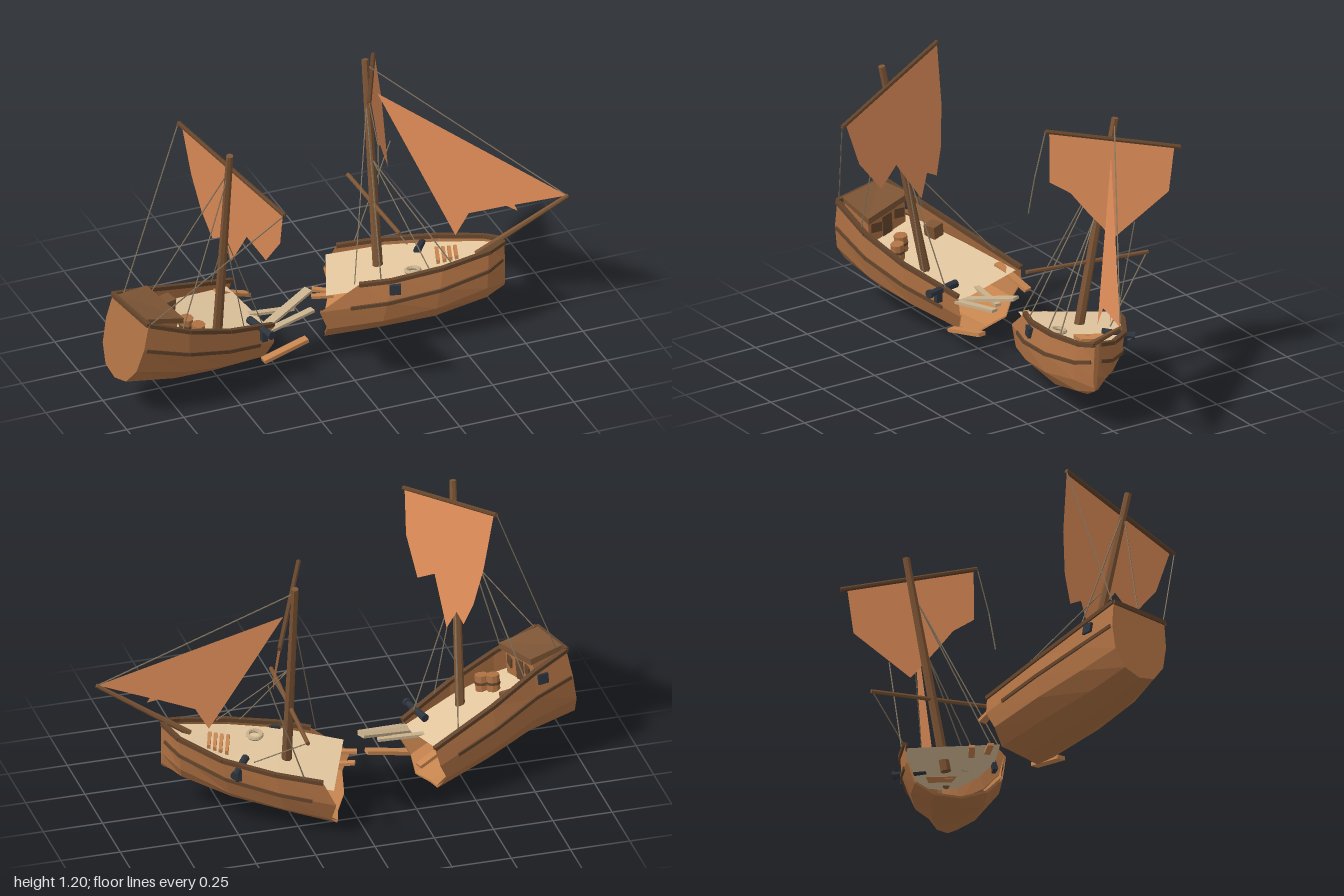
import * as THREE from 'three';

const mat = (name, color) => {
  const m = new THREE.MeshStandardMaterial({ color, side: THREE.DoubleSide, flatShading: true });
  m.name = name;
  return m;
};
const V = (p) => (p.isVector3 ? p.clone() : new THREE.Vector3(...p));

export function createModel() {
  const root = new THREE.Group();
  const wood = mat('hull wood', 0xb07244), dark = mat('dark trim', 0x65452c), spar = mat('spar wood', 0x7d5535);
  const deckWood = mat('deck wood', 0xe4c8a0), sailCloth = mat('sail cloth', 0xe38f5a), iron = mat('iron', 0x2f353e);
  const rope = mat('rope', 0x85765f), pale = mat('pale broken wood', 0xc8b08c), split = mat('split wood', 0xc88650);

  const add = (parent, name, geo, m) => {
    const mesh = new THREE.Mesh(geo, m);
    mesh.name = name;
    parent.add(mesh);
    return mesh;
  };
  // round bar between two points
  const bar = (parent, name, a, b, r, m, r2 = r, sides = 7) => {
    const p = V(a), q = V(b), d = q.clone().sub(p);
    const mesh = add(parent, name, new THREE.CylinderGeometry(r2, r, d.length(), sides), m);
    mesh.position.copy(p).add(q).multiplyScalar(0.5);
    mesh.quaternion.setFromUnitVectors(new THREE.Vector3(0, 1, 0), d.normalize());
    return mesh;
  };
  // rectangular board between two points
  const board = (parent, name, a, b, w, h, m) => {
    const p = V(a), q = V(b);
    const mesh = add(parent, name, new THREE.BoxGeometry(w, h, p.distanceTo(q)), m);
    mesh.position.copy(p).add(q).multiplyScalar(0.5);
    mesh.lookAt(q);
    return mesh;
  };
  // skin over cross-sections with equal point counts
  const loft = (sections, closed = false, capStart = false, capEnd = false) => {
    const pos = [], tri = (...ps) => ps.forEach((p) => pos.push(p.x, p.y, p.z));
    const n = sections[0].length;
    for (let i = 0; i + 1 < sections.length; i++) {
      for (let j = 0; j < (closed ? n : n - 1); j++) {
        const k = (j + 1) % n, s = sections[i], t = sections[i + 1];
        tri(s[j], t[j], t[k]);
        tri(s[j], t[k], s[k]);
      }
    }
    const cap = (s) => { for (let j = 1; j + 1 < n; j++) tri(s[0], s[j], s[j + 1]); };
    if (capStart) cap(sections[0]);
    if (capEnd) cap(sections[sections.length - 1]);
    const g = new THREE.BufferGeometry();
    g.setAttribute('position', new THREE.Float32BufferAttribute(pos, 3));
    g.computeVertexNormals();
    return g;
  };

  // hull section shape: a = across (+1 is the +z rail), b = down from rail to keel
  const half = [[1, 0], [1.06, 0.36], [0.94, 0.7], [0.57, 0.93]];
  const profile = [...half, [0, 1], ...half.map(([a, b]) => [-a, b]).reverse()];
  // point on a hull at station s; each station is [+z rail, -z rail, keel]
  const at = (hull, s, a, b) => {
    const i = Math.max(0, Math.min(Math.floor(s), hull.length - 2)), f = s - i;
    const [n, r, k] = [0, 1, 2].map((j) => V(hull[i][j]).lerp(V(hull[i + 1][j]), f));
    const mid = n.clone().add(r).multiplyScalar(0.5);
    return mid.clone().addScaledVector(n.sub(r), a / 2).addScaledVector(k.sub(mid), b);
  };
  // hull, lining, deck, rails and wales; the broken end is ragged by the given station offsets
  const ship = (parent, hull, deckDrop, breakAt, ragged, waleStart, waleEnd) => {
    const last = hull.length - 1;
    const shift = (s, j) => s + (s === breakAt ? ragged[j] : 0);
    const skin = (scale) => hull.map((_, s) => profile.map(([a, b], j) => at(hull, shift(s, j), a * scale, b * scale)));
    add(parent, 'hull', loft(skin(1), false, breakAt !== 0, breakAt === 0), wood);
    const inner = skin(0.96).map((sec) => sec.slice(1, -1));
    add(parent, 'brokenLining', loft(breakAt === 0 ? inner.slice(0, 3) : inner.slice(-3)), split);
    add(parent, 'deck', loft(hull.map((_, s) => [1, -1].map((a) => at(hull, s, a * 0.99, deckDrop[s])))), deckWood);
    for (const a of [1, -1]) {
      const j = a > 0 ? 0 : 8;
      for (let s = 0; s < last; s++) {
        board(parent, 'rail', at(hull, shift(s, j), a, 0), at(hull, shift(s + 1, j), a, 0), 0.02, 0.016, dark);
        const e = s + 1 === last ? waleEnd : 1, st = s === 0 ? waleStart : 0;
        board(parent, 'wale', at(hull, s + st, a * 1.06, 0.36), at(hull, s + e, a * 1.06, 0.36), 0.012, 0.015, dark);
      }
    }
  };
  // torn cloth: flat outline (u, v) placed in space by a rule
  const cloth = (parent, name, pts, place) => {
    const g = new THREE.ShapeGeometry(new THREE.Shape(pts.map((p) => new THREE.Vector2(...p)))).toNonIndexed();
    const pos = g.attributes.position;
    for (let i = 0; i < pos.count; i++) pos.setXYZ(i, ...place(pos.getX(i), pos.getY(i)));
    g.computeVertexNormals();
    add(parent, name, g, sailCloth);
  };
  // square sail hung from a yard, bellying forward as it drops
  const squareSail = (parent, A, B, belly, pts) => {
    bar(parent, 'yard', A, B, 0.01, dark);
    cloth(parent, 'squareSail', pts, (z, y) => {
      const t = (z - A[2]) / (B[2] - A[2]);
      return [A[0] + (B[0] - A[0]) * t + 0.008 + belly * (A[1] + (B[1] - A[1]) * t - y), y, z];
    });
  };
  const ropes = (parent, list) => list.forEach(([a, b]) => bar(parent, 'rope', a, b, 0.0028, rope, 0.0028, 4));
  const cannon = (parent, a, b) => {
    const g = new THREE.Group();
    g.name = 'cannon';
    parent.add(g);
    const p = V(a), q = V(b), m = p.clone().lerp(q, 0.65);
    bar(g, 'barrel', p, q, 0.017, iron, 0.013, 8);
    bar(g, 'muzzleRing', p.clone().lerp(q, 0.9), q, 0.018, iron, 0.018, 8);
    board(g, 'mount', m, m.clone().add(V([0, -0.048, 0])), 0.025, 0.025, iron);
  };
  // iron block fixed outside the hull
  const sideGun = (parent, hull, s, a) =>
    board(parent, 'sideGun', at(hull, s, a * 0.95, 0.15), at(hull, s, a * 1.1, 0.15), 0.046, 0.042, iron);

  // ---- stern half ----
  const stern = new THREE.Group();
  stern.name = 'sternHalf';
  root.add(stern);
  const sh = [
    [[-0.905, 0.475, 0.255], [-0.955, 0.495, 0], [-0.99, 0.165, 0.1]],
    [[-0.72, 0.395, 0.24], [-0.8, 0.445, -0.06], [-0.77, 0.125, 0.06]],
    [[-0.52, 0.32, 0.185], [-0.6, 0.367, -0.15], [-0.57, 0.08, -0.02]],
    [[-0.285, 0.237, 0.075], [-0.35, 0.282, -0.245], [-0.34, 0.032, -0.11]],
  ];
  ship(stern, sh, [0.4, 0.3, 0.22, 0.12], 3, [0, 0.06, -0.05, 0.03, -0.05, 0.02, -0.06, 0.06, 0.1], 0.05, 0.72);
  board(stern, 'sternRail', sh[0][0], sh[0][1], 0.02, 0.018, dark);
  // cabin: four-sided block whose top slopes less than the rails
  const cabin = (s0, s1, w, tops, bottoms) => loft([s0, s1].map((s, i) =>
    [[w, tops[i]], [w, bottoms[i]], [-w, bottoms[i]], [-w, tops[i]]].map(([a, b]) => at(sh, s, a, b))), true, true, true);
  add(stern, 'cabin', cabin(0.05, 0.85, 0.72, [-0.02, -0.08], [0.4, 0.36]), wood);
  add(stern, 'cabinRoof', cabin(0.02, 0.95, 0.8, [-0.04, -0.15], [0.02, -0.06]), spar);
  add(stern, 'door', cabin(0.85, 0.87, 0.18, [0.02, 0.02], [0.34, 0.34]), dark);
  for (const a of [0.45, -0.45]) {
    const c = at(sh, 0.86, a, 0.1);
    board(stern, 'window', c, c.clone().add(V([0.008, 0, 0])), 0.05, 0.04, dark);
  }
  // deck cargo
  [[1.38, 0.25], [1.5, 0.55]].forEach(([s, a]) => {
    const p = at(sh, s, a, 0.28), q = at(sh, s, a, 0.04);
    bar(stern, 'barrel', p, q, 0.028, wood, 0.028, 9);
    bar(stern, 'barrelHoop', p.clone().lerp(q, 0.42), p.clone().lerp(q, 0.58), 0.03, dark, 0.03, 9);
  });
  board(stern, 'crate', at(sh, 1.5, -0.75, 0.27), at(sh, 1.5, -0.75, 0.08), 0.055, 0.055, spar);
  bar(stern, 'mast', [-0.528, 0.24, 0.07], [-0.556, 1.2, 0.268], 0.021, spar, 0.015);
  const yA = [-0.645, 1.198, -0.057], yB = [-0.43, 1.04, 0.54];
  squareSail(stern, yA, yB, 0.16, [[-0.05, 1.19], [0.52, 1.04], [0.465, 0.865], [0.35, 0.725], [0.25, 0.79],
    [0.12, 0.607], [0.075, 0.7], [0.02, 0.67], [-0.02, 0.78], [-0.045, 0.95]]);
  const m1 = [-0.55, 1.12, 0.25], low1 = [-0.535, 0.76, 0.17];
  ropes(stern, [[yA, [-0.92, 0.49, 0.02]], [yB, [-0.9, 0.47, 0.25]], [m1, [-0.76, 0.43, -0.06]], [m1, [-0.75, 0.41, 0.24]],
    [low1, [-0.34, 0.26, 0.1]], [low1, [-0.44, 0.32, -0.2]], [low1, [-0.44, 0.3, 0.14]]]);
  cannon(stern, [-0.37, 0.255, 0.03], [-0.335, 0.255, 0.185]);
  sideGun(stern, sh, 0.78, -1);
  // loose broken planks
  board(stern, 'loosePlank', [-0.34, 0.2, 0.05], [-0.07, 0.275, -0.065], 0.04, 0.012, pale);
  board(stern, 'loosePlank', [-0.3, 0.21, 0.07], [-0.09, 0.235, 0.025], 0.03, 0.012, pale);
  board(stern, 'loosePlank', [-0.34, 0.23, -0.05], [-0.15, 0.225, -0.03], 0.025, 0.012, pale);
  board(stern, 'loosePlank', [-0.33, 0.08, 0.08], [-0.13, 0.125, 0.06], 0.035, 0.016, split);
  board(stern, 'loosePlank', [-0.42, 0.27, -0.2], [-0.26, 0.2, -0.245], 0.035, 0.014, split);

  // ---- bow half ----
  const bow = new THREE.Group();
  bow.name = 'bowHalf';
  root.add(bow);
  const bh = [
    [[-0.005, 0.28, -0.035], [0.14, 0.25, -0.385], [0.05, 0.002, -0.18]],
    [[0.24, 0.315, 0.065], [0.36, 0.285, -0.3], [0.24, 0.045, -0.1]],
    [[0.45, 0.345, 0.1], [0.55, 0.32, -0.185], [0.45, 0.085, -0.01]],
    [[0.65, 0.375, 0.1], [0.69, 0.365, -0.04], [0.65, 0.145, 0.06]],
    [[0.73, 0.393, 0.075], [0.732, 0.393, 0.055], [0.73, 0.19, 0.075]],
  ];
  ship(bow, bh, [0.12, 0.1, 0.1, 0.1, 0.1], 0, [0.5, -0.1, 0.04, -0.02, 0.05, 0, 0.08, -0.04, 0.18], 0.4, 0.85);
  bar(bow, 'bowsprit', [0.62, 0.34, 0.04], [0.99, 0.575, 0.12], 0.014, spar, 0.009);
  bar(bow, 'mast', [0.268, 0.22, -0.14], [0.282, 1.14, -0.313], 0.022, spar, 0.015);
  bar(bow, 'lowerYard', [0.26, 0.55, 0.1], [0.275, 0.51, -0.475], 0.009, spar);
  const yC = [0.185, 1.108, -0.04], yD = [0.415, 1.006, -0.543];
  squareSail(bow, yC, yD, 0.16, [[-0.05, 1.1], [-0.035, 0.9], [-0.11, 0.85], [-0.165, 0.77], [-0.255, 0.65],
    [-0.48, 0.83], [-0.515, 1.01]]);
  cloth(bow, 'jib', [[0.318, 0.995], [0.985, 0.575], [0.79, 0.53], [0.8, 0.505], [0.76, 0.525], [0.62, 0.49], [0.565, 0.395]],
    (x, y) => [x, y, -0.27 + 0.469 * (x - 0.318) - 0.183 * (y - 0.995)]);
  const m2 = [0.281, 1.12, -0.31], high2 = [0.27, 0.95, -0.27], low2 = [0.275, 0.72, -0.22];
  ropes(bow, [[m2, [0.985, 0.575, 0.12]], [yC, [0.2, 0.93, 0.02]], [[0.2, 0.93, 0.02], [0.19, 0.77, 0.045]],
    [high2, [0.1, 0.3, 0.01]], [high2, [0.2, 0.31, 0.05]], [low2, [0.4, 0.335, 0.09]], [low2, [0.5, 0.34, 0.1]],
    [[0.275, 0.51, -0.47], [0.42, 0.3, -0.2]], [[0.4, 0.72, -0.33], [0.25, 0.27, -0.35]]]);
  cannon(bow, [0.44, 0.295, -0.145], [0.52, 0.28, -0.255]);
  sideGun(bow, bh, 1.1, 1);
  board(bow, 'loosePlank', [0.04, 0.22, -0.07], [-0.045, 0.22, -0.095], 0.025, 0.012, split);
  board(bow, 'loosePlank', [0.06, 0.2, -0.13], [-0.015, 0.21, -0.165], 0.025, 0.012, split);
  // rope coil and hatch on the deck
  const coil = add(bow, 'ropeCoil', new THREE.TorusGeometry(0.028, 0.009, 6, 14), pale);
  coil.position.copy(at(bh, 1.45, 0.55, 0.06));
  coil.rotation.x = Math.PI / 2 - 0.17;
  for (let i = 0; i < 4; i++) {
    const s = 1.95 + i * 0.13;
    board(bow, 'hatchSlat', at(bh, s, 0.35, 0.07), at(bh, s, -0.45, 0.07), 0.014, 0.02, split);
  }
  return root;
}
